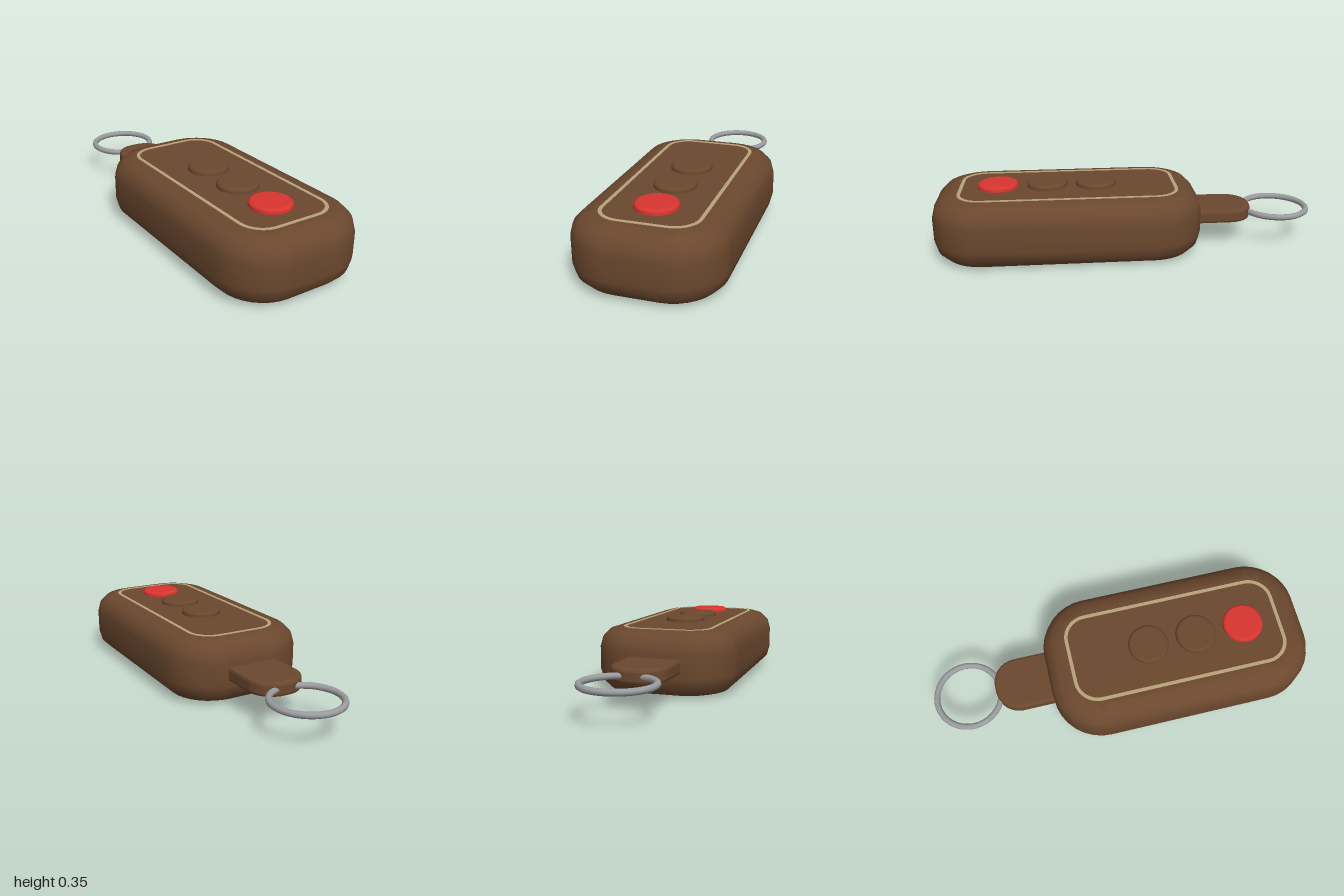
import * as THREE from 'three';
import { mergeVertices } from 'three/addons/utils/BufferGeometryUtils.js';

// Rounded rectangle; rFar rounds the +y corners, rNear the -y corners
function roundedRect(target, halfW, y0, y1, rNear, rFar = rNear) {
  target.moveTo(-halfW + rNear, y0);
  target.lineTo(halfW - rNear, y0);
  if (rNear) target.absarc(halfW - rNear, y0 + rNear, rNear, -Math.PI / 2, 0);
  target.lineTo(halfW, y1 - rFar);
  target.absarc(halfW - rFar, y1 - rFar, rFar, 0, Math.PI / 2);
  target.lineTo(-halfW + rFar, y1);
  target.absarc(-halfW + rFar, y1 - rFar, rFar, Math.PI / 2, Math.PI);
  target.lineTo(-halfW, y0 + rNear);
  if (rNear) target.absarc(-halfW + rNear, y0 + rNear, rNear, Math.PI, Math.PI * 1.5);
  return target;
}

// Extrude a plan outline (shape y = -z) upward between two heights
function slab(shape, bottom, top, bevel, bevelSegments, curveSegments) {
  const geo = new THREE.ExtrudeGeometry(shape, {
    depth: top - bottom - 2 * bevel,
    bevelEnabled: bevel > 0,
    bevelSize: bevel,
    bevelThickness: bevel,
    bevelSegments,
    curveSegments,
  });
  geo.rotateX(-Math.PI / 2);
  geo.translate(0, bottom + bevel, 0);
  return geo;
}

// Share vertices so the rounded edges shade smoothly
function smooth(geo) {
  geo.deleteAttribute('normal');
  geo.deleteAttribute('uv');
  const merged = mergeVertices(geo, 1e-4);
  merged.computeVertexNormals();
  return merged;
}

export function createModel() {
  const group = new THREE.Group();
  const material = (name, color) => {
    const m = new THREE.MeshStandardMaterial({ color });
    m.name = name;
    return m;
  };
  const brown = material('brown', 0x6b482e);
  const red = material('red', 0xd9352f);
  const tan = material('tan', 0xb8a27a);
  const steel = material('steel', 0x9a9c9f);

  const add = (name, geo, mat) => {
    const mesh = new THREE.Mesh(geo, mat);
    mesh.name = name;
    group.add(mesh);
    return mesh;
  };

  // Pillow-edged housing
  const bevel = 0.105;
  const outline = roundedRect(new THREE.Shape(), 0.366 - bevel, -1 + bevel, 0.38 - bevel, 0.155);
  add('housing', smooth(slab(outline, 0, 0.328, bevel, 3, 4)), brown);

  // Thin inlaid border on the top face
  const border = roundedRect(new THREE.Shape(), 0.24, -0.87, 0.26, 0.125);
  border.holes.push(roundedRect(new THREE.Path(), 0.222, -0.852, 0.242, 0.107));
  add('borderTrim', slab(border, 0.324, 0.3305, 0, 1, 8), tan);

  // Three round push buttons with softened rims
  const profile = [[0.105, 0], [0.105, 0.018], [0.102, 0.026], [0.094, 0.031], [0.088, 0.032], [0, 0.032]]
    .map(([x, y]) => new THREE.Vector2(x, y));
  const buttonGeo = new THREE.LatheGeometry(profile, 32);
  [['rearButton', 0.16, brown], ['middleButton', 0.415, brown], ['frontButton', 0.67, red]]
    .forEach(([name, z, mat]) => add(name, buttonGeo, mat).position.set(0, 0.321, z));

  // Tongue that holds the ring
  const tongue = roundedRect(new THREE.Shape(), 0.125, 0.34, 0.655, 0, 0.11);
  add('ringTongue', slab(tongue, 0.13, 0.202, 0.015, 2, 8), brown);

  // Key ring lying flat through the tongue
  const ring = new THREE.TorusGeometry(0.17, 0.016, 10, 40);
  ring.rotateX(Math.PI / 2);
  add('keyRing', ring, steel).position.set(0, 0.166, -0.814);

  return group;
}
